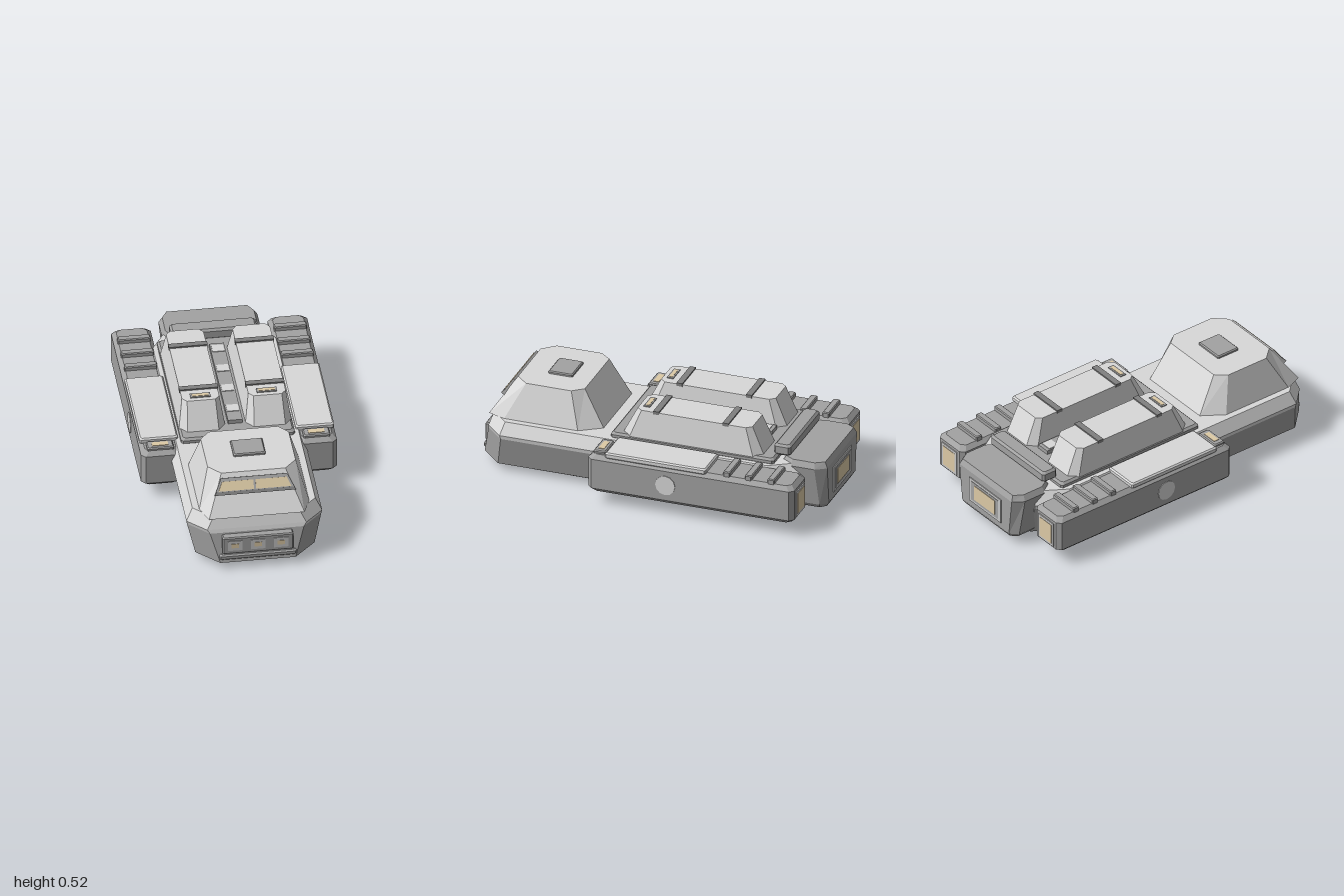
import * as THREE from 'three';

const paint = (name, color) => {
  const m = new THREE.MeshStandardMaterial({ color });
  m.name = name;
  return m;
};

export function createModel() {
  const light = paint('light grey', 0xd9d9d9);
  const mid = paint('mid grey', 0xa2a2a2);
  const dark = paint('dark grey', 0x808080);
  const pale = paint('pale panel', 0xc6c6c6);
  const amber = paint('warm glass', 0xddcaa6);
  const model = new THREE.Group();

  // Chamfered rectangle in plan; cx, cz are the corner cuts
  const ring = (y, hw, zf, zb, cx, cz = cx, bx = cx, bz = cz) => [
    [hw, y, zf - cz], [hw, y, zb + bz], [hw - bx, y, zb], [bx - hw, y, zb],
    [-hw, y, zb + bz], [-hw, y, zf - cz], [cx - hw, y, zf], [hw - cx, y, zf],
  ];

  // Flat-faced solid through a stack of rings, capped at both ends
  function loft(name, mat, rings, parent = model) {
    const p = [], n = rings[0].length;
    const tri = (a, b, c) => p.push(...a, ...b, ...c);
    for (let r = 0; r < rings.length - 1; r++) {
      for (let i = 0; i < n; i++) {
        const j = (i + 1) % n, lo = rings[r], hi = rings[r + 1];
        tri(lo[i], lo[j], hi[j]);
        tri(lo[i], hi[j], hi[i]);
      }
    }
    const lo = rings[0], hi = rings[rings.length - 1];
    for (let i = 1; i < n - 1; i++) {
      tri(hi[0], hi[i], hi[i + 1]);
      tri(lo[0], lo[i + 1], lo[i]);
    }
    const g = new THREE.BufferGeometry();
    g.setAttribute('position', new THREE.Float32BufferAttribute(p, 3));
    g.computeVertexNormals();
    return add(name, g, mat, parent);
  }

  function add(name, geo, mat, parent = model) {
    const mesh = new THREE.Mesh(geo, mat);
    mesh.name = name;
    parent.add(mesh);
    return mesh;
  }

  // Plain and bevelled boxes given by size and centre
  function box(name, mat, w, h, d, x, y, z, parent = model) {
    const m = add(name, new THREE.BoxGeometry(w, h, d), mat, parent);
    m.position.set(x, y, z);
    return m;
  }
  function bevelBox(name, mat, w, h, d, x, y, z, b, parent = model) {
    const r = (yy, i) => ring(yy, w / 2 - i, d / 2 - i, i - d / 2, b);
    const m = loft(name, mat, [r(-h / 2, b), r(b - h / 2, 0), r(h / 2 - b, 0), r(h / 2, b)], parent);
    m.position.set(x, y, z);
    return m;
  }

  // Hull with a pale shoulder
  loft('hull', mid, [
    ring(0.04, 0.325, 0.99, -0.86, 0.12, 0.12, 0.1, 0.16),
    ring(0.21, 0.366, 0.95, -0.86, 0.11, 0.11, 0.1, 0.16),
  ]);
  loft('shoulder', light, [
    ring(0.21, 0.366, 0.95, -0.86, 0.11, 0.11, 0.1, 0.16),
    ring(0.232, 0.37, 0.945, -0.86, 0.1, 0.1, 0.1, 0.16),
    ring(0.302, 0.335, 0.925, -0.84, 0.1, 0.1, 0.1, 0.16),
  ]);

  // Cabin and roof hatch
  loft('cabin', light, [
    ring(0.3, 0.3, 0.945, 0.3, 0.04, 0.1, 0.08, 0.12),
    ring(0.505, 0.24, 0.81, 0.42, 0.065, 0.07, 0.05, 0.06),
  ]);
  bevelBox('roofHatch', mid, 0.175, 0.024, 0.14, 0, 0.508, 0.6, 0.006);

  // Windscreen lying on the sloped cabin front
  const windscreen = new THREE.Group();
  windscreen.name = 'windscreen';
  windscreen.position.set(0, 0.405, 0.876);
  windscreen.rotation.x = -Math.atan2(0.135, 0.205);
  model.add(windscreen);
  function plate(name, mat, pts, z, depth) {
    const s = new THREE.Shape(pts.map(([x, y]) => new THREE.Vector2(x, y)));
    add(name, new THREE.ExtrudeGeometry(s, { depth, bevelEnabled: false }), mat, windscreen).position.z = z;
  }
  plate('windowFrame', mid, [[-0.222, 0], [0.222, 0], [0.18, 0.092], [-0.18, 0.092]], -0.005, 0.017);
  plate('windowSill', dark, [[-0.222, 0], [0.222, 0], [0.212, 0.017], [-0.212, 0.017]], 0.008, 0.009);
  plate('leftWindow', amber, [[0.006, 0.021], [0.198, 0.021], [0.176, 0.073], [0.006, 0.073]], 0.01, 0.006);
  plate('rightWindow', amber, [[-0.198, 0.021], [-0.006, 0.021], [-0.006, 0.073], [-0.176, 0.073]], 0.01, 0.006);

  // Nose lamps and bumper
  bevelBox('lampHousing', mid, 0.385, 0.105, 0.06, 0, 0.148, 0.963, 0.006);
  for (const x of [-0.125, 0, 0.125]) {
    box('lampPanel', pale, 0.078, 0.062, 0.008, x, 0.15, 0.993);
    box('lamp', amber, 0.04, 0.026, 0.006, x, 0.15, 0.997);
  }
  bevelBox('bumper', mid, 0.42, 0.032, 0.05, 0, 0.075, 0.972, 0.008);

  // Rear deck with centre spine
  bevelBox('rearDeck', mid, 0.62, 0.04, 0.94, 0, 0.312, -0.24, 0.012);
  box('spine', mid, 0.08, 0.03, 0.72, 0, 0.34, -0.24);
  for (const z of [-0.55, -0.365, -0.18, 0.01]) box('spinePanel', light, 0.065, 0.012, 0.06, 0, 0.353, z);

  // Rear engine block, cross bar and exhaust
  loft('engineBlock', mid, [
    ring(0.045, 0.225, -0.74, -0.975, 0.03),
    ring(0.07, 0.245, -0.73, -0.99, 0.04),
    ring(0.29, 0.27, -0.73, -0.99, 0.04, 0.06),
    ring(0.322, 0.25, -0.75, -0.975, 0.03, 0.05),
  ]);
  bevelBox('crossBar', mid, 0.47, 0.065, 0.095, 0, 0.355, -0.73, 0.012);
  box('exhaustFrame', pale, 0.28, 0.15, 0.01, 0, 0.18, -0.99);
  box('exhaustRim', mid, 0.235, 0.12, 0.006, 0, 0.18, -0.994);
  box('exhaustGlow', amber, 0.18, 0.09, 0.006, 0, 0.18, -0.997);

  for (const side of [-1, 1]) {
    const half = new THREE.Group();
    half.name = side > 0 ? 'leftSide' : 'rightSide';
    model.add(half);

    // Raised cargo pod with bands and a small vent
    const pod = new THREE.Group();
    pod.name = 'cargoPod';
    pod.position.x = side * 0.181;
    half.add(pod);
    loft('podBody', light, [
      ring(0.325, 0.126, 0.17, -0.64, 0.04, 0.05),
      ring(0.482, 0.102, 0.09, -0.57, 0.025, 0.03),
    ], pod);
    for (const z of [-0.425, -0.025]) box('podBand', dark, 0.212, 0.018, 0.034, 0, 0.481, z, pod);
    box('podVentFrame', mid, 0.11, 0.01, 0.036, 0, 0.482, 0.047, pod);
    box('podVent', amber, 0.09, 0.006, 0.02, 0, 0.486, 0.047, pod);

    // Side nacelle
    const nacelle = new THREE.Group();
    nacelle.name = 'nacelle';
    nacelle.position.x = side * 0.426;
    half.add(nacelle);
    bevelBox('nacelleBody', mid, 0.216, 0.222, 1.185, 0, 0.184, -0.312, 0.024, nacelle);
    bevelBox('nacelleCover', light, 0.21, 0.035, 0.58, 0, 0.303, -0.11, 0.008, nacelle);
    bevelBox('ventFrame', mid, 0.145, 0.03, 0.07, 0, 0.295, 0.222, 0.006, nacelle);
    box('vent', amber, 0.088, 0.006, 0.032, 0, 0.31, 0.222, nacelle);
    for (const z of [-0.515, -0.64, -0.77]) bevelBox('rib', mid, 0.178, 0.035, 0.04, 0, 0.302, z, 0.005, nacelle);
    const disc = add('sideDisc', new THREE.CylinderGeometry(0.057, 0.057, 0.008, 12), light, nacelle);
    disc.rotation.z = Math.PI / 2;
    disc.position.set(side * 0.108, 0.187, -0.17);
    box('thrusterFrame', pale, 0.13, 0.15, 0.01, 0, 0.18, -0.905, nacelle);
    box('thrusterGlow', amber, 0.1, 0.12, 0.006, 0, 0.18, -0.909, nacelle);

    // Landing runner
    bevelBox('runner', mid, 0.088, 0.06, 1.41, side * 0.224, 0.03, 0.025, 0.016, half);
  }

  return model;
}
